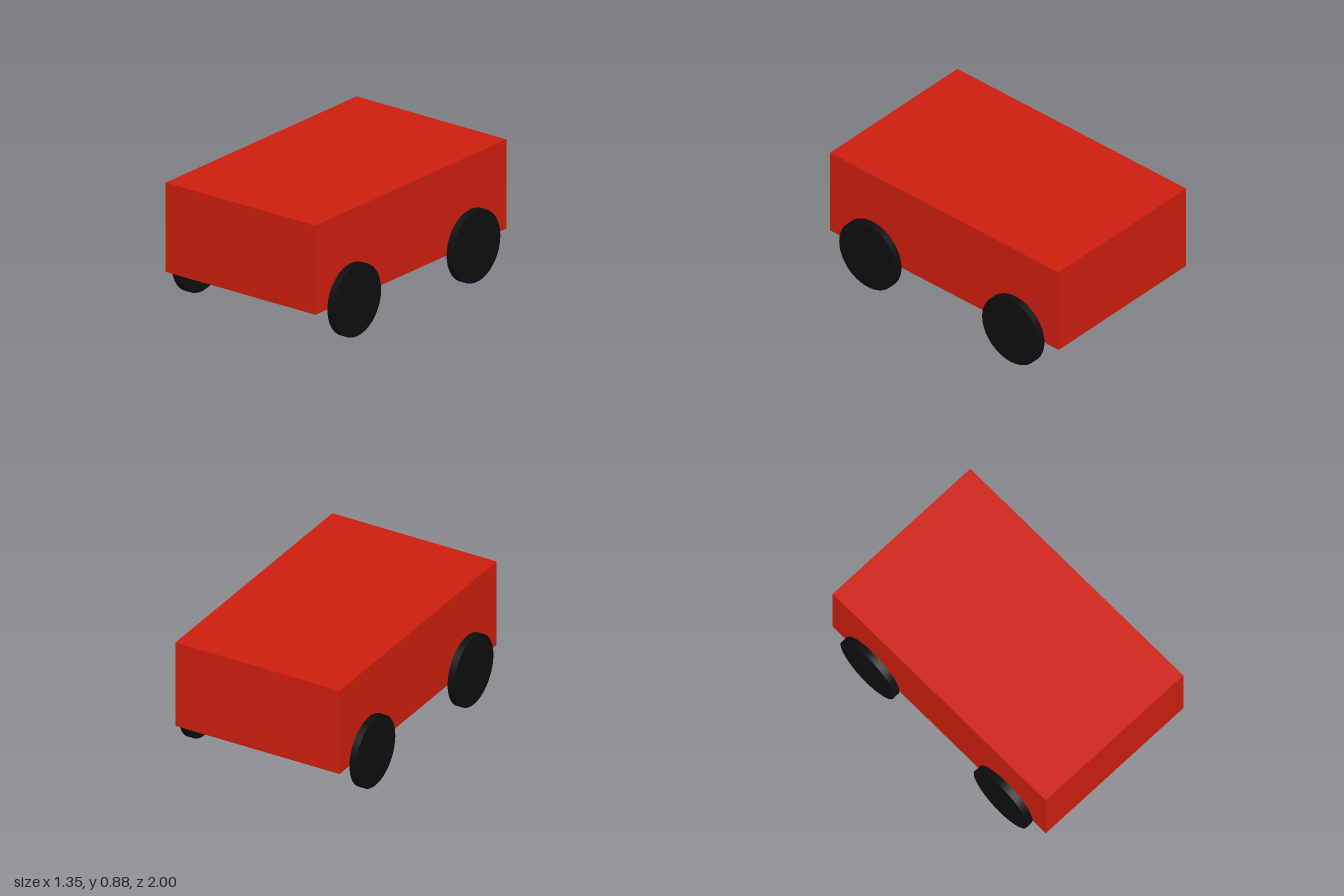
import * as THREE from 'three';

export function createModel() {
  const model = new THREE.Group();
  const red = new THREE.MeshStandardMaterial({ color: 0xcc1e0e });
  const black = new THREE.MeshStandardMaterial({ color: 0x0e0e0e });

  // Box body, its floor level with the wheel axles
  const body = new THREE.Mesh(new THREE.BoxGeometry(1.25, 0.625, 2), red);
  body.name = 'body';
  body.position.y = 0.5625;
  model.add(body);

  // Four thin disc wheels, flush against the sides
  const wheelGeometry = new THREE.CylinderGeometry(0.25, 0.25, 0.05, 64).rotateZ(Math.PI / 2);
  for (const [end, z] of [['front', 0.625], ['back', -0.625]]) {
    for (const [side, x] of [['Left', 0.65], ['Right', -0.65]]) {
      const wheel = new THREE.Mesh(wheelGeometry, black);
      wheel.name = `${end}${side}Wheel`;
      wheel.position.set(x, 0.25, z);
      model.add(wheel);
    }
  }
  return model;
}
